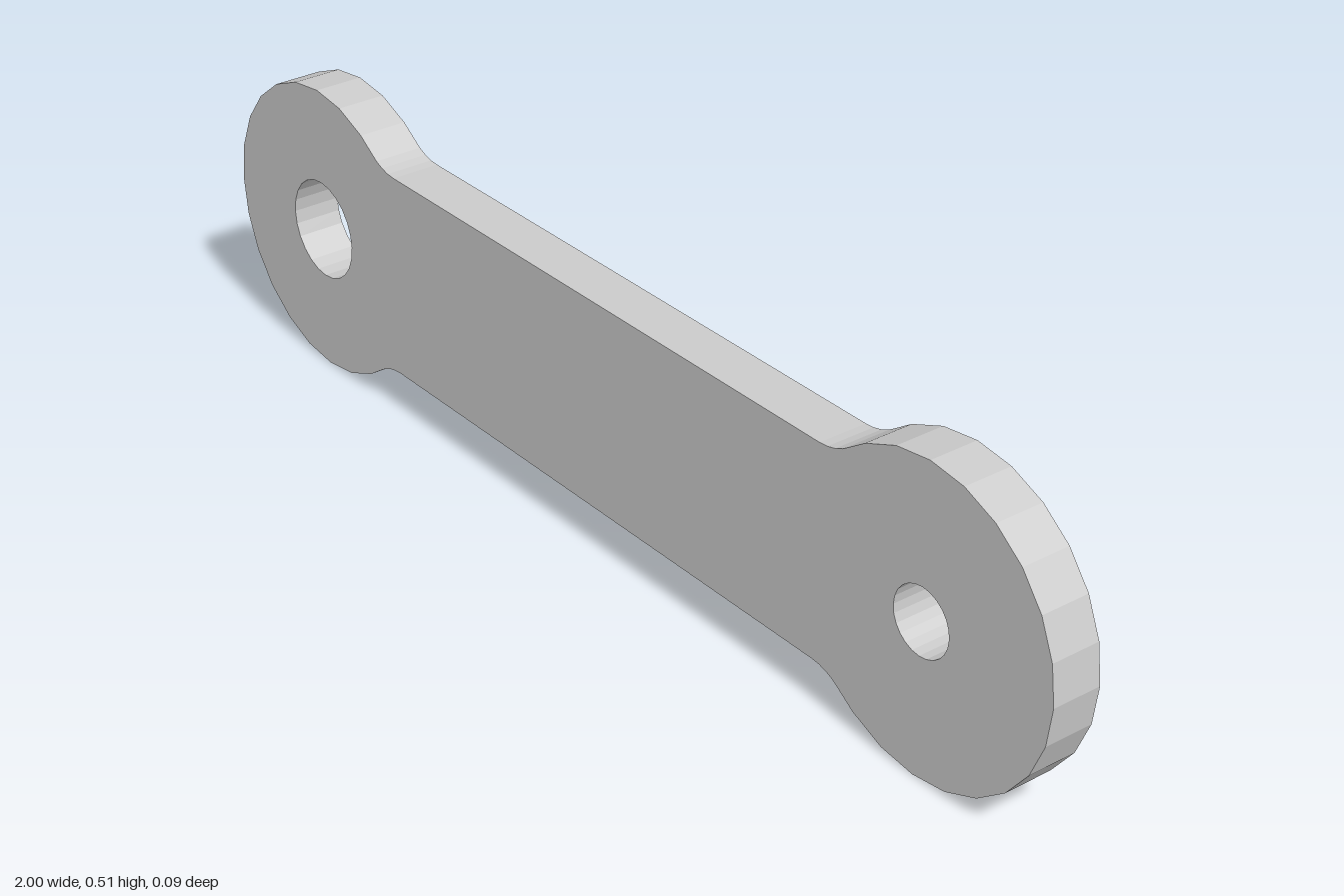
import * as THREE from 'three';

const EYE_X = 0.744, EYE_R = 0.256;   // rounded ends
const BAR_H = 0.18;                   // half height of the straight bar
const FILLET = 0.1;                   // blend between bar and ends
const THICK = 0.085;
const STEP = Math.PI / 12;            // 24-sided circles

const polar = (cx, cy, r, a) => new THREE.Vector2(cx + r * Math.cos(a), cy + r * Math.sin(a));

// Outline of the +x end, counter-clockwise from lower bar edge to upper bar edge
function endOutline() {
  const dy = BAR_H + FILLET;
  const dx = Math.sqrt((EYE_R + FILLET) ** 2 - dy ** 2);
  const tangent = Math.atan2(dy, dx);
  const upper = [], arc = [];
  for (let i = 0; i <= 4; i++) {
    const a = THREE.MathUtils.lerp(-tangent, -Math.PI / 2, i / 4);
    upper.push(polar(EYE_X - dx, dy, FILLET, a));
  }
  const lower = upper.map((p) => new THREE.Vector2(p.x, -p.y)).reverse();
  for (let i = -8; i <= 8; i++) arc.push(polar(EYE_X, 0, EYE_R, i * STEP));
  return [...lower, ...arc, ...upper];
}

// Faceted round hole
function hole(x, r) {
  const pts = [];
  for (let i = 0; i < 24; i++) pts.push(polar(x, 0, r, -i * STEP));
  return new THREE.Path(pts);
}

export function createModel() {
  const group = new THREE.Group();
  group.name = 'linkPlate';

  // The second end is the first turned half a circle
  const end = endOutline();
  const shape = new THREE.Shape([...end, ...end.map((p) => p.clone().negate())]);
  shape.holes.push(hole(-EYE_X - 0.002, 0.087), hole(EYE_X, 0.056));

  const geometry = new THREE.ExtrudeGeometry(shape, { depth: THICK, bevelEnabled: false });
  geometry.translate(0, EYE_R, -THICK / 2);

  const plate = new THREE.Mesh(
    geometry,
    new THREE.MeshStandardMaterial({ color: 0xcccccc, flatShading: true })
  );
  plate.name = 'linkArm';
  group.add(plate);
  return group;
}
